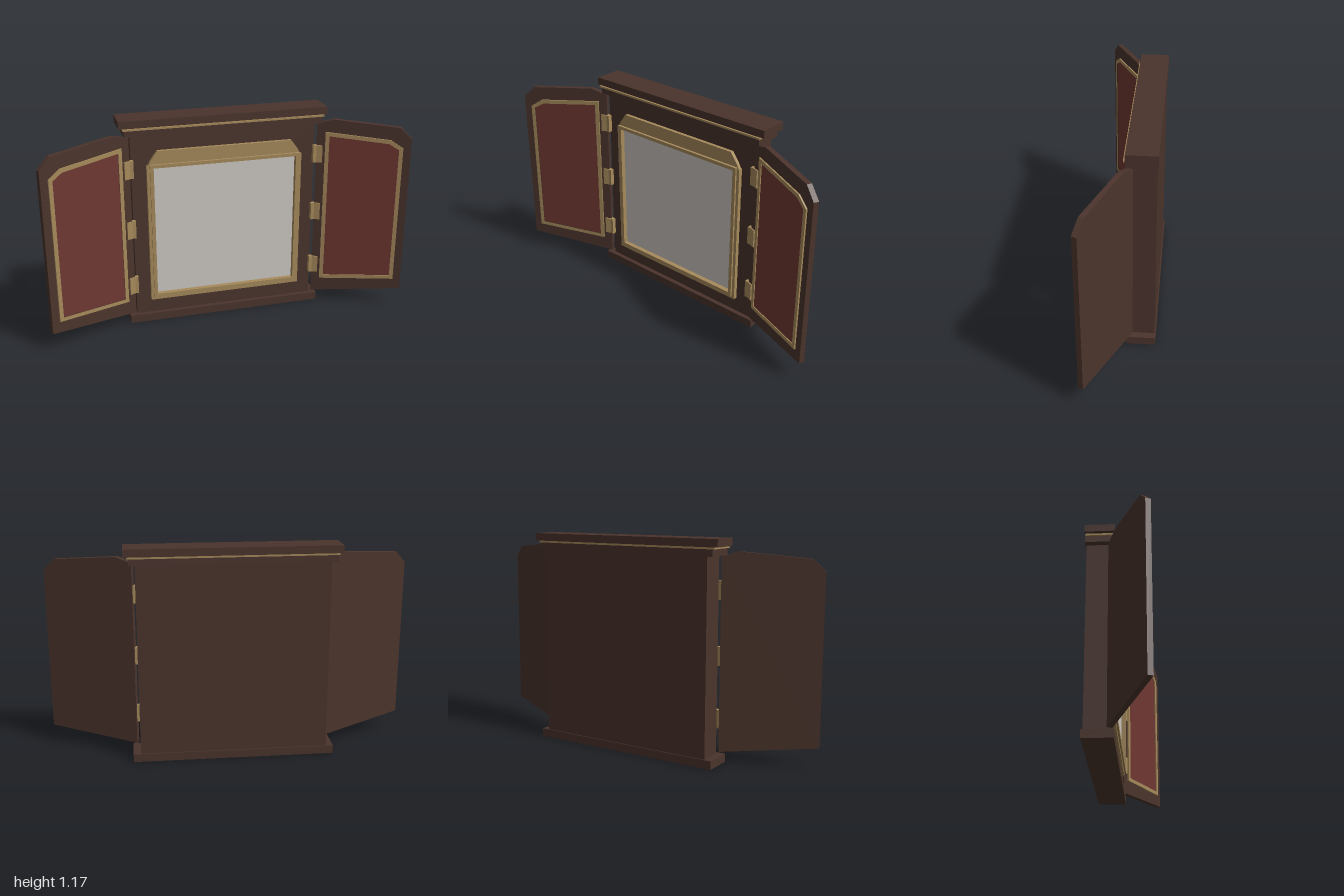
import * as THREE from 'three';

const mat = (name, color) => {
  const m = new THREE.MeshStandardMaterial({ color });
  m.name = name;
  return m;
};

export function createModel() {
  const wood = mat('dark wood', 0x4b342c);
  const gold = mat('dull gold', 0xa68a5b);
  const red = mat('red panel', 0x6f3832);
  const pale = mat('pale panel', 0xcdc8c2);
  const root = new THREE.Group();
  root.name = 'shutteredCabinet';

  const add = (parent, name, geo, material) => {
    const mesh = new THREE.Mesh(geo, material);
    mesh.name = name;
    parent.add(mesh);
    return mesh;
  };
  // Box given by its limits
  const box = (parent, name, material, x0, x1, y0, y1, z0, z1) => {
    const g = new THREE.BoxGeometry(x1 - x0, y1 - y0, z1 - z0);
    g.translate((x0 + x1) / 2, (y0 + y1) / 2, (z0 + z1) / 2);
    return add(parent, name, g, material);
  };
  // Flat plate from an outline, with an optional opening, between two depths
  const plate = (parent, name, material, outline, z0, z1, hole) => {
    const vec = pts => pts.map(([x, y]) => new THREE.Vector2(x, y));
    const shape = new THREE.Shape(vec(outline));
    if (hole) shape.holes.push(new THREE.Path(vec(hole)));
    const g = new THREE.ExtrudeGeometry(shape, { depth: z1 - z0, bevelEnabled: false });
    g.translate(0, 0, z0);
    return add(parent, name, g, material);
  };
  const rect = (w, y0, y1) => [[-w, y0], [w, y0], [w, y1], [-w, y1]];

  // Cabinet body, base and stepped cornice
  box(root, 'body', wood, -0.51, 0.51, 0.04, 1.085, -0.17, -0.045);
  box(root, 'base', wood, -0.55, 0.55, 0, 0.045, -0.176, -0.02);
  box(root, 'corniceLower', wood, -0.542, 0.542, 1.08, 1.116, -0.176, -0.02);
  box(root, 'corniceGoldStrip', gold, -0.55, 0.55, 1.116, 1.126, -0.174, -0.01);
  box(root, 'corniceUpper', wood, -0.57, 0.57, 1.126, 1.167, -0.177, -0.02);

  // Central panel with a stepped gold frame and a chamfered crest
  box(root, 'centrePanel', pale, -0.4, 0.4, 0.16, 0.91, -0.046, -0.038);
  plate(root, 'frameOuter', gold, rect(0.43, 0.13, 0.915), -0.046, -0.022,
    rect(0.414, 0.146, 0.906));
  plate(root, 'frameInner', gold, rect(0.414, 0.146, 0.922), -0.046, -0.012,
    rect(0.395, 0.167, 0.904));
  plate(root, 'crest', gold, [[-0.425, 0.912], [0.425, 0.912], [0.41, 0.94],
    [0.37, 0.994], [-0.37, 0.994], [-0.41, 0.94]], -0.046, -0.026);

  // Tapered doors swung open, mirrored left and right
  const angle = 0.407, thick = 0.028, front = 0.518;
  const hingeX = front + thick * Math.sin(angle);
  for (const s of [1, -1]) {
    const door = new THREE.Group();
    door.name = s > 0 ? 'leftDoor' : 'rightDoor';
    door.position.set(s * hingeX, 0, -0.055);
    door.rotation.y = -s * angle;
    root.add(door);
    // Frontal positions converted to distance along the door
    const along = pts => pts.map(([x, y]) => [s * (x - front) / Math.cos(angle), y]);

    plate(door, 'doorLeaf', wood, along([[0.518, 0.06], [0.989, 0.106], [0.989, 1.005],
      [0.93, 1.067], [0.6, 1.1], [0.518, 1.073]]), 0, thick);
    const opening = along([[0.582, 0.167], [0.93, 0.187], [0.93, 0.943],
      [0.88, 0.976], [0.582, 1.007]]);
    plate(door, 'doorTrim', gold, along([[0.562, 0.145], [0.95, 0.167], [0.95, 0.953],
      [0.887, 0.997], [0.562, 1.03]]), thick - 0.002, thick + 0.008, opening);
    plate(door, 'doorPanel', red, opening, thick - 0.002, thick + 0.003);

    // Hinges wrapping the gap between door and body
    for (const y of [0.232, 0.563, 0.903]) {
      const leaf = along([[0.508, y - 0.049], [0.55, y - 0.049], [0.55, y + 0.049],
        [0.508, y + 0.049]]);
      plate(door, 'hingeLeaf', gold, leaf, thick - 0.002, thick + 0.007);
      const barrel = box(root, 'hingeBarrel', gold, -0.013, 0.013, y - 0.049, y + 0.049, -0.046, -0.022);
      barrel.position.x = s * 0.512;
    }
  }
  return root;
}
